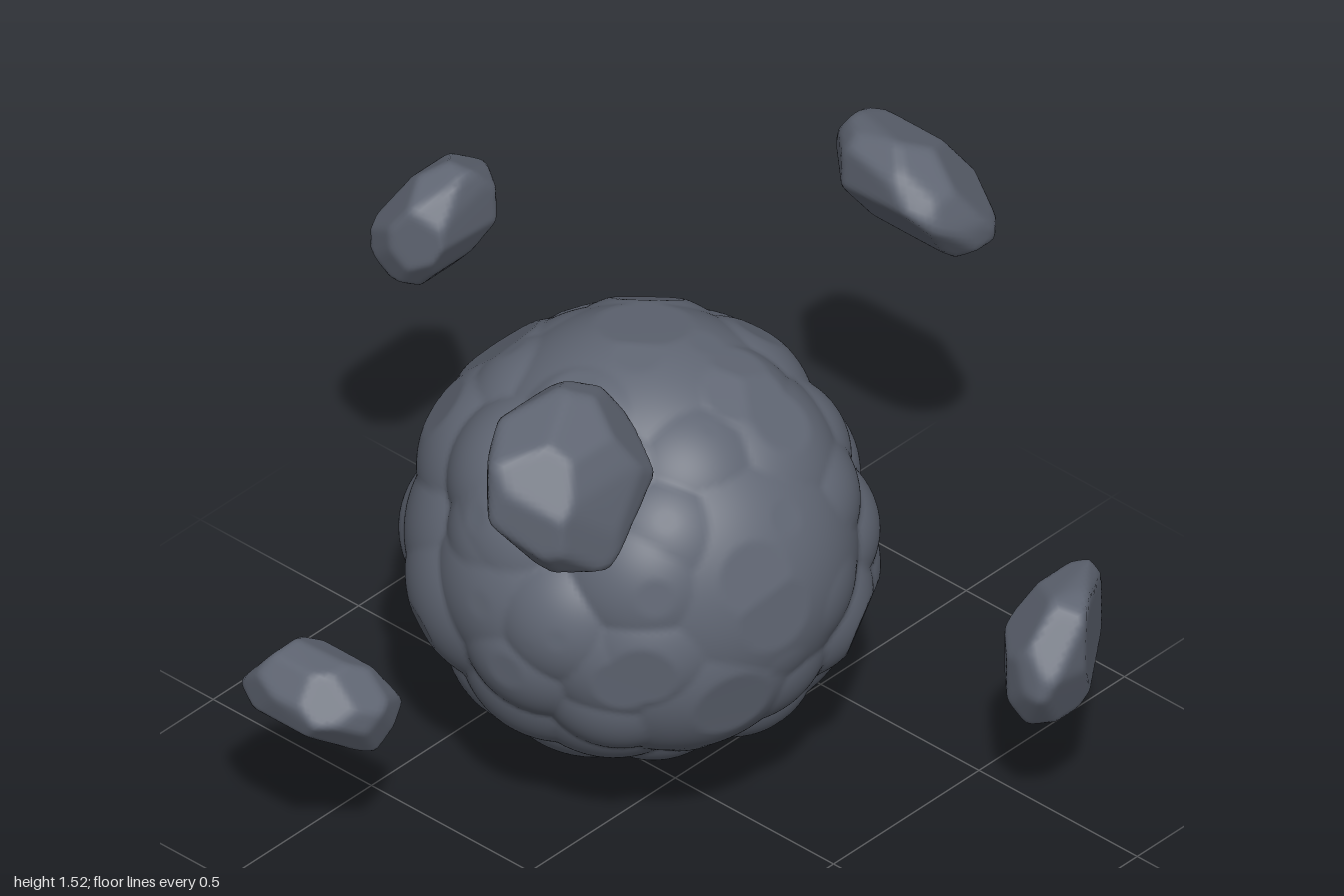
import * as THREE from 'three';
import { mergeVertices } from 'three/addons/utils/BufferGeometryUtils.js';

// Outlines of each floating rock: front [x,y], side [z,y], top [x,z]
const ROCKS = {
  upperRightRock: {
    front: [[-.58,1.53],[-.45,1.47],[-.41,1.39],[-.42,1.28],[-.6,1.14],[-.74,1.14],[-.86,1.3],[-.83,1.45]],
    side: [[.18,1.54],[.09,1.47],[.06,1.4],[.13,1.25],[.25,1.14],[.38,1.14],[.4,1.19],[.36,1.37],[.32,1.45]],
    top: [[-.65,.06],[-.44,.12],[-.4,.23],[-.45,.35],[-.62,.39],[-.78,.36],[-.86,.2],[-.8,.14]],
  },
  upperLeftRock: {
    front: [[.73,1.46],[.88,1.39],[.96,1.27],[1,1.12],[.97,1.08],[.88,1.08],[.76,1.18],[.65,1.34],[.66,1.4]],
    side: [[.03,1.46],[-.15,1.43],[-.22,1.32],[-.22,1.27],[-.13,1.12],[-.03,1.08],[.07,1.09],[.2,1.18],[.21,1.25],[.17,1.36]],
    top: [[.8,-.23],[.91,-.23],[1,-.07],[.92,.17],[.87,.21],[.71,.2],[.65,.14],[.68,-.1]],
  },
  lowerRightRock: {
    front: [[-.94,.67],[-.87,.68],[-.78,.63],[-.7,.49],[-.76,.4],[-.85,.43],[-.98,.52],[-1,.6]],
    side: [[-.4,.68],[-.25,.67],[-.15,.57],[-.2,.42],[-.32,.39],[-.47,.43],[-.52,.53]],
    top: [[-.96,-.49],[-.84,-.52],[-.72,-.37],[-.7,-.21],[-.84,-.15],[-.99,-.21],[-1,-.35]],
  },
  frontRock: {
    front: [[.39,.73],[.59,.71],[.64,.57],[.6,.43],[.46,.36],[.32,.39],[.27,.52],[.29,.66]],
    side: [[.84,.73],[.73,.69],[.69,.61],[.66,.45],[.75,.36],[.87,.4],[.93,.58],[.92,.7]],
    top: [[.51,.65],[.63,.71],[.62,.78],[.41,.92],[.3,.93],[.26,.88],[.3,.77],[.38,.69]],
  },
  bottomRock: {
    front: [[.46,.41],[.58,.41],[.65,.34],[.68,.21],[.62,.1],[.4,0],[.29,.09],[.28,.16],[.36,.33]],
    side: [[-.54,.41],[-.74,.38],[-.76,.19],[-.67,.08],[-.56,0],[-.52,.01],[-.38,.16],[-.41,.27]],
    top: [[.31,-.76],[.43,-.77],[.61,-.67],[.68,-.53],[.57,-.38],[.41,-.44],[.29,-.57],[.29,-.7]],
  },
  backRock: {
    front: [[.07,1.36],[.21,1.28],[.23,1.2],[.15,1.05],[.05,1],[-.05,1.05],[-.1,1.2],[-.07,1.29]],
    side: [[-.72,1.35],[-.78,1.36],[-.85,1.31],[-.93,1.17],[-.9,1.04],[-.87,1],[-.81,1.02],[-.75,1.09],[-.69,1.22]],
    top: [[.02,-.93],[.19,-.91],[.23,-.83],[.16,-.71],[-.04,-.7],[-.09,-.82],[-.06,-.91]],
  },
};
const AXES = { front: [0, 1], side: [2, 1], top: [0, 2] };

function seeded(seed) {
  return () => {
    seed = (seed * 16807) % 2147483647;
    return seed / 2147483647;
  };
}

// A welded sphere whose vertices are moved out to radius(direction)
function starShape(detail, radius) {
  const ball = new THREE.IcosahedronGeometry(1, detail);
  ball.deleteAttribute('uv');
  ball.deleteAttribute('normal');
  const geometry = mergeVertices(ball, 1e-4);
  const pos = geometry.attributes.position;
  const d = new THREE.Vector3();
  for (let i = 0; i < pos.count; i++) {
    d.fromBufferAttribute(pos, i).normalize();
    d.multiplyScalar(radius(d));
    pos.setXYZ(i, d.x, d.y, d.z);
  }
  geometry.computeVertexNormals();
  return geometry;
}

// A boulder chiselled by the planes through its outlines, plus eight corner cuts
function rock(outlines, material) {
  const range = (pts, k) => {
    const v = pts.map((p) => p[k]);
    return [Math.min(...v), Math.max(...v)];
  };
  const spans = [range(outlines.front, 0), range(outlines.front, 1), range(outlines.top, 1)];
  const center = spans.map(([a, b]) => (a + b) / 2);
  const half = spans.map(([a, b]) => (b - a) / 2);
  const planes = [];
  const tilt = {};

  for (const [view, [u, v]] of Object.entries(AXES)) {
    const pts = outlines[view].map((p) => [p[0] - center[u], p[1] - center[v]]);
    pts.forEach((a, i) => {
      const b = pts[(i + 1) % pts.length];
      const n = new THREE.Vector2(b[1] - a[1], a[0] - b[0]).normalize();
      let h = n.x * a[0] + n.y * a[1];
      if (h < 0) { n.negate(); h = -h; }
      const normal = new THREE.Vector3().setComponent(u, n.x).setComponent(v, n.y);
      planes.push({ normal, h: Math.max(h, 0.03) });
    });
    // How far the outline leans along its diagonals
    const width = (s) => {
      const w = pts.map((p) => (p[0] + s * p[1]) / Math.SQRT2);
      return (Math.max(...w) - Math.min(...w)) / 2;
    };
    tilt[view] = (width(1) ** 2 - width(-1) ** 2) / 2;
  }

  for (const x of [-1, 1]) for (const y of [-1, 1]) for (const z of [-1, 1]) {
    const sum = half[0] ** 2 + half[1] ** 2 + half[2] ** 2
      + 2 * (x * y * tilt.front + z * y * tilt.side + x * z * tilt.top);
    const h = 0.95 * Math.sqrt(Math.max(sum, 0.02) / 3);
    planes.push({ normal: new THREE.Vector3(x, y, z).normalize(), h });
  }

  const sharpness = 60;
  const geometry = starShape(15, (d) => {
    let sum = 0;
    for (const { normal, h } of planes) {
      sum += Math.max(normal.dot(d) / h, 0) ** sharpness;
    }
    return sum ** (-1 / sharpness);
  });
  const mesh = new THREE.Mesh(geometry, material);
  mesh.position.set(...center);
  return mesh;
}

// Evenly spread directions over a sphere, shaken by the given amount
function spread(count, shake, rand) {
  const j = () => (rand() - 0.5) * shake;
  return Array.from({ length: count }, (_, i) => {
    const y = 1 - (2 * (i + 0.5)) / count;
    const r = Math.sqrt(1 - y * y);
    const a = i * 2.39996;
    return new THREE.Vector3(r * Math.cos(a) + j(), y + j(), r * Math.sin(a) + j()).normalize();
  });
}

// The big round core: overlapping cobbles whose crowns are cut into flat facets
function core(material) {
  const rand = seeded(4711);
  const cobbles = spread(75, 0.28, rand).map((dir) => ({
    dir, height: 0.97 + rand() * 0.045, curve: 0.3 + rand() * 0.6,
  }));
  // Broad smooth plates: direction, height, curve
  const plates = [
    [-0.2, 0.3, 1, 1.0, 0.16], [0.05, 1, -0.05, 1.005, 0.16], [-0.45, -0.35, 0.8, 1.005, 0.3],
    [0.4, 0.5, -0.8, 1.0, 0.2], [-0.3, -0.6, -0.7, 0.995, 0.25],
  ];
  for (const [x, y, z, height, curve] of plates) {
    cobbles.push({ dir: new THREE.Vector3(x, y, z).normalize(), height, curve });
  }
  const cuts = spread(95, 0.2, rand).map((dir) => ({ dir, h: 0.97 + rand() * 0.03 }));

  const geometry = starShape(50, (d) => {
    let radius = 0;
    for (const { dir, height, curve } of cobbles) {
      const angle = Math.acos(Math.min(1, dir.dot(d)));
      radius = Math.max(radius, height - curve * angle * angle);
    }
    for (const { dir, h } of cuts) {
      const c = dir.dot(d);
      if (c > 0.5) radius = Math.min(radius, h / c);
    }
    // Slightly longer from back right to front left
    return radius * (1 + 0.05 * d.x * d.z + 0.02 * d.y * d.z);
  });
  geometry.scale(0.549, 0.562, 0.56);
  geometry.computeVertexNormals();
  const mesh = new THREE.Mesh(geometry, material);
  mesh.position.set(-0.028, 0.693, -0.081);
  return mesh;
}

export function createModel() {
  const model = new THREE.Group();
  model.name = 'floatingRockCluster';
  const stone = new THREE.MeshStandardMaterial({ color: 0x606673 });
  stone.name = 'slate stone';

  const center = core(stone);
  center.name = 'rockCore';
  model.add(center);

  for (const [name, outlines] of Object.entries(ROCKS)) {
    const mesh = rock(outlines, stone);
    mesh.name = name;
    model.add(mesh);
  }
  return model;
}
